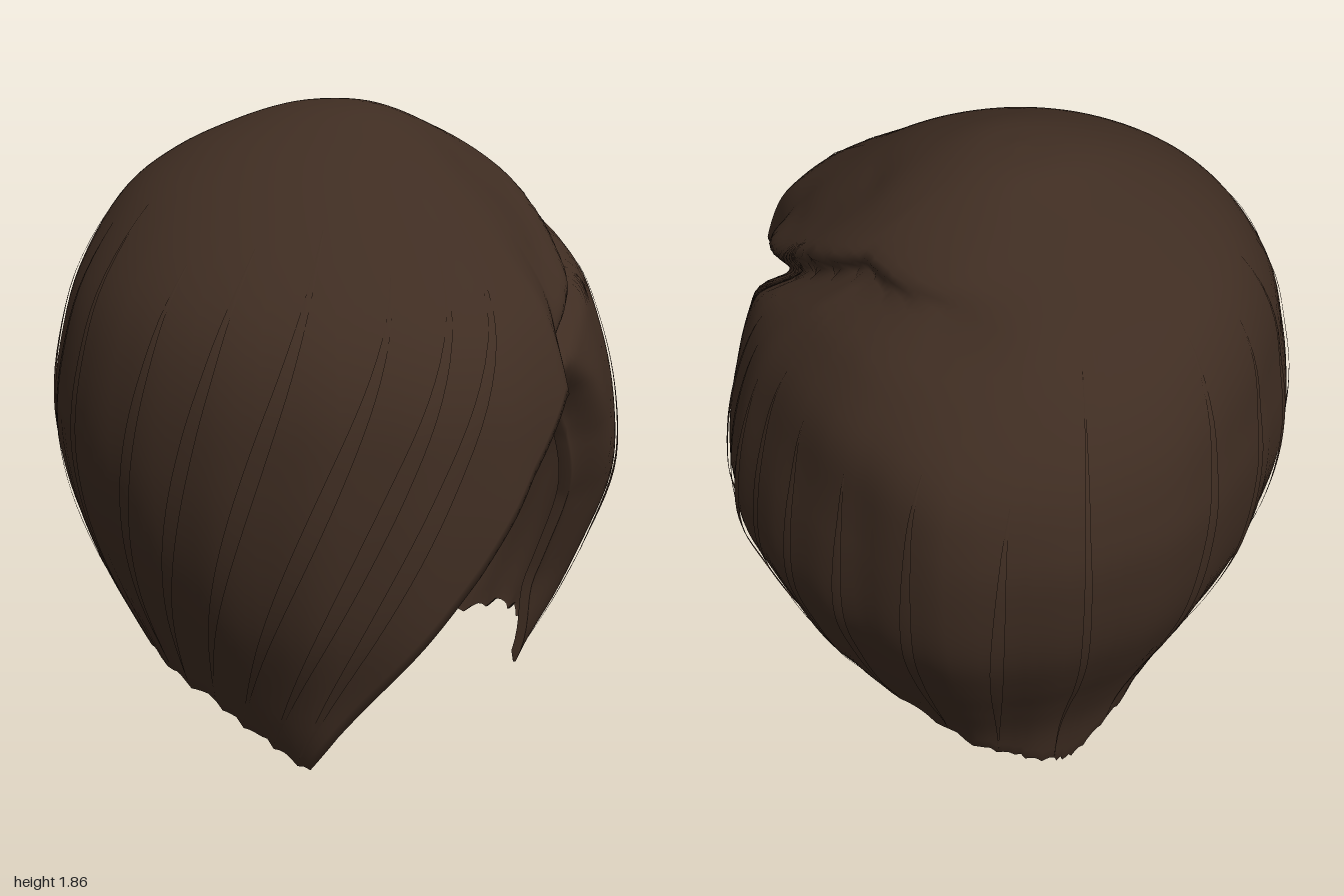
import * as THREE from 'three';

const rad = THREE.MathUtils.degToRad;
const smooth = THREE.MathUtils.smoothstep;

// Horizontal sections, top to bottom: height, reach to -x, +x, +z, -z
const sections = [
  [1.86, 0, 0, 0, 0], [1.845, 0.14, 0.12, 0.14, 0.12], [1.8, 0.29, 0.24, 0.27, 0.23],
  [1.72, 0.46, 0.38, 0.44, 0.43], [1.6, 0.61, 0.52, 0.61, 0.69], [1.4, 0.74, 0.69, 0.85, 0.89],
  [1.2, 0.8, 0.77, 0.95, 0.97], [1.0, 0.82, 0.81, 0.98, 0.96], [0.8, 0.79, 0.81, 0.99, 0.91],
  [0.6, 0.72, 0.74, 0.98, 0.81], [0.4, 0.62, 0.65, 0.94, 0.69], [0.2, 0.51, 0.52, 0.92, 0.59],
  [-0.02, 0.4, 0.4, 0.82, 0.53],
];
const across = new THREE.CatmullRomCurve3(
  sections.map(([y, l, r]) => new THREE.Vector3(l, y, r)), false, 'catmullrom', 0.5);
const along = new THREE.CatmullRomCurve3(
  sections.map(([y, , , f, b]) => new THREE.Vector3(f, y, b)), false, 'catmullrom', 0.5);

// Hem height by azimuth in degrees (0 = front, 90 = +x): fringe, opening, side panel, nape
const hem = [
  [-180, 0.0], [-172, 0.07], [-160, 0.15], [-140, 0.23], [-115, 0.3], [-90, 0.34], [-60, 0.33], [-40, 0.31],
  [-28, 0.25], [-18, 0.2], [-13, 0.32], [-3, 0.53], [8, 0.76], [18, 1.0], [28, 1.17], [38, 1.22],
  [43, 1.19], [50, 1.1], [58, 0.95], [65, 0.75], [69, 0.5], [71, 0.22], [80, 0.26], [95, 0.29], [110, 0.28],
  [130, 0.21], [150, 0.13], [165, 0.07], [176, 0.02], [180, 0.0],
];
// Flattened and bulged areas, and height of the parting line, by azimuth
const dent = [
  [-180, 1], [-168, 0.99], [-155, 0.955], [-137, 0.945], [-115, 0.975], [-95, 1], [14, 1], [29, 0.98],
  [38, 0.865], [48, 0.86], [58, 0.9], [70, 0.94], [80, 0.97], [92, 1], [135, 1], [150, 1.04], [165, 1.02], [180, 1],
];
const parting = [[30, 1.2], [38, 1.23], [54, 1.35], [66, 1.43], [75, 1.5], [98, 1.62], [145, 1.66], [180, 1.68]];
// Azimuth of the side panel's front edge by height
const sideEdge = [[0.22, 71], [0.5, 69], [0.75, 65], [0.95, 58], [1.1, 50], [1.22, 40]];

function lookup(table, a) {
  for (let i = 1; i < table.length; i++) {
    const [a0, v0] = table[i - 1], [a1, v1] = table[i];
    if (a <= a1) return v0 + (v1 - v0) * Math.max(0, (a - a0) / (a1 - a0));
  }
  return table[table.length - 1][1];
}

// Curve parameter at which the profile reaches height y
function paramAt(y) {
  let lo = 0, hi = 1;
  for (let i = 0; i < 30; i++) {
    const mid = (lo + hi) / 2;
    if (across.getPoint(mid).y > y) lo = mid; else hi = mid;
  }
  return lo;
}

// Point on the hair surface at azimuth a (degrees) and profile parameter s
function surface(a, s, lift = 0) {
  const w = across.getPoint(s), d = along.getPoint(s), y = w.y;
  const sx = Math.sin(rad(a)), cz = Math.cos(rad(a));
  const rx = sx < 0 ? w.x : w.z, rz = cz > 0 ? d.x : d.z;
  let r = 1 / Math.max(1e-6, Math.hypot(sx / Math.max(rx, 1e-6), cz / Math.max(rz, 1e-6)));
  r *= 1 + (lookup(dent, a) - 1) * (1 - smooth(y, 1.25, 1.6));
  // side panel's front edge turns inward
  r -= 0.1 * Math.exp(-(((a - lookup(sideEdge, y)) / 6) ** 2)) * smooth(y, 0.2, 0.5) * (1 - smooth(y, 1.0, 1.25));
  // full shoulder behind the parting, flatter crown in front of it
  r += 0.05 * Math.exp(-(((a - 130) / 24) ** 2)) * smooth(y, 1.1, 1.45) * (1 - smooth(y, 1.6, 1.72));
  r -= 0.04 * Math.exp(-(((a - 55) / 22) ** 2)) * smooth(y, 1.35, 1.5) * (1 - smooth(y, 1.68, 1.82));
  if (a > 30 && a < 165) { // groove under the swept fringe, ending in the whorl
    const off = y - lookup(parting, a);
    const fade = smooth(a, 30, 45) * (1 - smooth(a, 135, 165));
    r -= fade * (0.085 * Math.exp(-((off + 0.02) ** 2) / 0.0018) - 0.02 * Math.exp(-((off - 0.08) ** 2) / 0.004));
  }
  r += lift + 0.003 * Math.sin(rad(a * 23) + 3 * s) * smooth(s, 0.3, 0.7); // faint combed waves
  const z0 = cz * r;
  return new THREE.Vector3(
    sx * r + (z0 < 0 ? 0.1 : 0.03) * z0 * z0 * smooth(s, 0.1, 0.4),
    y,
    z0 - 0.09 * smooth(y, 1.2, 1.75));
}

function gridGeometry(points, index) {
  const g = new THREE.BufferGeometry().setFromPoints(points);
  g.setIndex(index);
  g.computeVertexNormals();
  return g;
}

// Main shell: columns follow the hem, with an inward-turned lip at the bottom
function shellGeometry() {
  const columns = [], per = 8, rows = 56;
  for (let i = 1; i < hem.length; i++)
    for (let k = 0; k < per; k++) {
      const t = k / per, [a0, h0] = hem[i - 1], [a1, h1] = hem[i];
      const tooth = [0, 0.008, 0.002, -0.012, 0.014, 0.006, 0, -0.008][(k * 3 + i) % per];
      const a = a0 + (a1 - a0) * t;
      const open = a > -19 && a < 71;
      columns.push([a, Math.max(0, h0 + (h1 - h0) * t + (open ? 0 : tooth)), open]);
    }
  const n = columns.length, points = [surface(0, 0)], index = [];
  const ends = columns.map(c => paramAt(c[1]));
  for (let j = 1; j <= rows; j++)
    columns.forEach(([a], i) => points.push(surface(a, ends[i] * j / rows)));
  columns.forEach(([, , open], i) => {
    const p = points[1 + (rows - 1) * n + i].clone();
    const k = open ? 0.95 : 0.985;
    points.push(p.set(p.x * k, p.y, p.z * k));
  });
  for (let i = 0; i < n; i++) {
    const m = (i + 1) % n;
    index.push(0, 1 + i, 1 + m);
    for (let j = 0; j < rows; j++) {
      const p = 1 + j * n + i, q = 1 + j * n + m;
      index.push(p, p + n, q, q, p + n, q + n);
    }
  }
  return gridGeometry(points, index);
}

// Inner face of the fringe: spans from its free edge back to a line inside the head
function liningGeometry() {
  const front = new THREE.CatmullRomCurve3(
    [38, 28, 18, 8, -3, -13, -18].map(a => surface(a, paramAt(lookup(hem, a)), -0.02)));
  const back = new THREE.CatmullRomCurve3([
    [0.12, 1.2, 0.5], [-0.05, 0.98, 0.5], [-0.18, 0.77, 0.49], [-0.3, 0.57, 0.48], [-0.25, 0.33, 0.62], [-0.24, 0.21, 0.79],
  ].map(p => new THREE.Vector3(...p)));
  const points = [], index = [], steps = 24, wide = 4;
  for (let j = 0; j <= steps; j++)
    for (let k = 0; k <= wide; k++) {
      points.push(front.getPoint(j / steps).lerp(back.getPoint(j / steps), k / wide));
      if (j < steps && k < wide) {
        const p = j * (wide + 1) + k, q = p + wide + 1;
        index.push(p, q, p + 1, p + 1, q, q + 1);
      }
    }
  return gridGeometry(points, index);
}

// Thin tapering lock lying on the shell, from azimuth a0 up high to a1 at the hem
function lockGeometry(a0, a1, s0, width, lift) {
  const points = [], index = [], steps = 28;
  const s1 = paramAt(lookup(hem, a1) + 0.02);
  for (let j = 0; j <= steps; j++) {
    const t = j / steps, a = a0 + (a1 - a0) * t, s = s0 + (s1 - s0) * t;
    const w = width * Math.sin(Math.PI * (0.03 + 0.94 * t));
    const up = 0.002 + lift * Math.sin(Math.PI * t);
    points.push(surface(a - w, s, up - 0.001), surface(a, s, up), surface(a + w, s, up - 0.001));
    if (j < steps)
      for (let k = 0; k < 2; k++) {
        const p = j * 3 + k;
        index.push(p, p + 3, p + 1, p + 1, p + 3, p + 4);
      }
  }
  return gridGeometry(points, index);
}

export function createModel() {
  const group = new THREE.Group();
  const brown = new THREE.MeshStandardMaterial({ color: 0x3f2d22, side: THREE.DoubleSide });
  brown.name = 'dark brown hair';
  const add = (name, geometry) => {
    const mesh = new THREE.Mesh(geometry, brown);
    mesh.name = name;
    group.add(mesh);
  };
  add('hairShell', shellGeometry());
  add('fringeLining', liningGeometry());

  // Fringe locks sweep diagonally; side and back locks hang straight
  [-20, -25, -32, -40, -50, -60].forEach((a, i) =>
    add('fringeLock', lockGeometry(a + 40 - i * 5, a, 0.34 + 0.02 * (i % 3), 1.5, 0.008)));
  [-75, -88, -102, -118, -134, -150, -166].forEach((a, i) =>
    add('backLock', lockGeometry(a + 6, a, 0.33 + 0.03 * (i % 2), 1.3, 0.008)));
  [78, 84, 91, 100, 112, 126, 142, 158].forEach((a, i) =>
    add('sideLock', lockGeometry(a + 4, a, 0.42 + 0.02 * (i % 3), 1.2, 0.008)));
  // Loose strand standing off the back of the head
  add('looseStrand', lockGeometry(174, 176, 0.33, 0.7, 0.02));
  return group;
}
